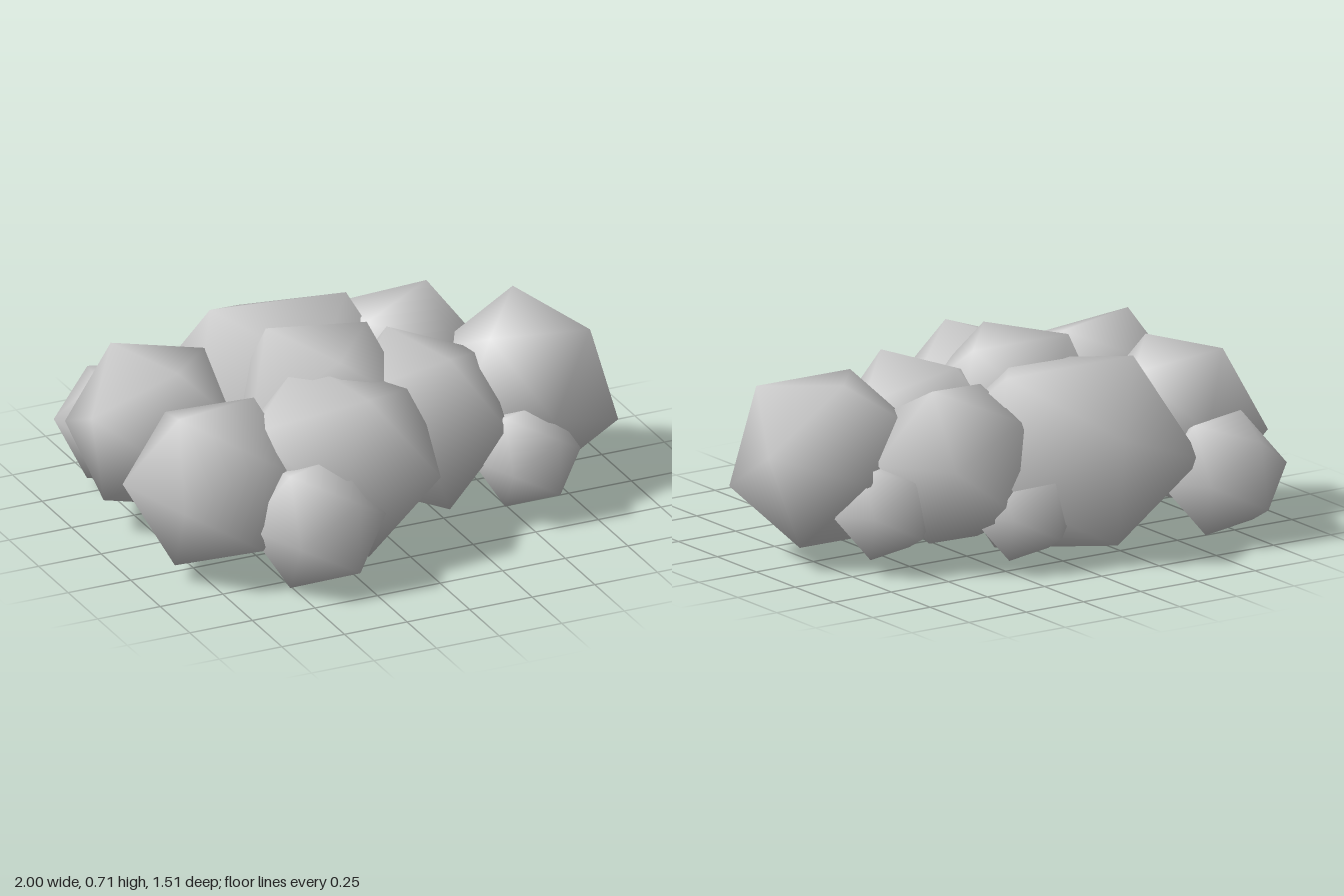
import * as THREE from 'three';

// Rotation basis whose x axis is corner a, with neighbouring corner b in its xy plane
function basis(a, b) {
  const x = new THREE.Vector3(...a).normalize();
  const z = x.clone().cross(new THREE.Vector3(...b)).normalize();
  return new THREE.Matrix4().makeBasis(x, z.clone().cross(x), z);
}

// Two neighbouring corners of the stock icosahedron
const PHI = (1 + Math.sqrt(5)) / 2;
const STOCK = basis([0, 1, PHI], [0, -1, PHI]).transpose();

// Smooth-shaded 20-sided puff, turned so two neighbouring corners point along a and b,
// then flattened in height
function makePuff(name, radius, centre, a, b, flatten = 1) {
  const geo = new THREE.IcosahedronGeometry(radius, 0);
  const pos = geo.attributes.position;
  const n = new THREE.Vector3();
  for (let i = 0; i < pos.count; i++) {
    n.fromBufferAttribute(pos, i).normalize();
    geo.attributes.normal.setXYZ(i, n.x, n.y, n.z);
  }
  geo.applyMatrix4(basis(a, b).multiply(STOCK)).scale(1, flatten, 1);
  const mesh = new THREE.Mesh(geo, new THREE.MeshStandardMaterial({ color: 0xcccccc }));
  mesh.name = name;
  mesh.position.set(...centre);
  return mesh;
}

export function createModel() {
  const group = new THREE.Group();
  group.name = 'puffCluster';

  // Shared turns of the small puffs: one face looks outward with an upright edge
  const frontTurn = [[0.303, 0.526, 0.795], [0.303, -0.526, 0.795]];
  const backTurn = [[-0.04, 0.145, -0.18], [-0.055, -0.11, -0.21]];

  const puffs = [
    // Large puffs: name, radius, centre, corner directions, flattening
    ['leftPuff', 0.362, [0.667, 0.355, 0.048], [0.035, 0.315, -0.17], [0.045, -0.01, -0.355]],
    ['frontRightPuff', 0.335, [-0.68, 0.335, 0.28], [-0.32, 0.01, -0.1], [-0.15, 0.29, 0.04]],
    ['frontPuff', 0.42, [-0.2, 0.335, 0.28], [-0.15, 0, 0.36], [0.26, 0, 0.3], 0.87],
    ['frontLeftPuff', 0.35, [0.21, 0.345, 0.12], [-0.1, 0, 0.3], [0.22, 0, 0.24]],
    ['topPuff', 0.36, [-0.14, 0.41, 0.03], [-0.16, 0.31, -0.14], [-0.03, 0.3, 0.22]],
    ['backPuff', 0.5, [-0.14, 0.335, -0.3], [0.045, 0.19, -0.465], [-0.26, 0.44, -0.06], 0.8],
    ['backRightPuff', 0.335, [-0.685, 0.355, -0.22], [-0.27, 0.11, 0.09], [-0.02, 0.29, 0.197]],
    ['backLeftPuff', 0.325, [0.33, 0.36, -0.29], [0.17, 0.05, -0.26], [0.12, 0.3, -0.03]],
    // Small puffs round the base
    ['smallFrontRightPuff', 0.26, [-0.395, 0.23, 0.54], ...frontTurn],
    ['smallFrontLeftPuff', 0.205, [0.545, 0.22, 0.32], ...frontTurn],
    ['smallBackRightPuff', 0.24, [-0.67, 0.23, -0.545], ...backTurn],
    ['smallBackPuff', 0.2, [0.15, 0.205, -0.47], ...backTurn],
    ['smallBackLeftPuff', 0.2, [0.6, 0.225, -0.24], ...backTurn],
  ];
  for (const p of puffs) group.add(makePuff(...p));
  return group;
}
